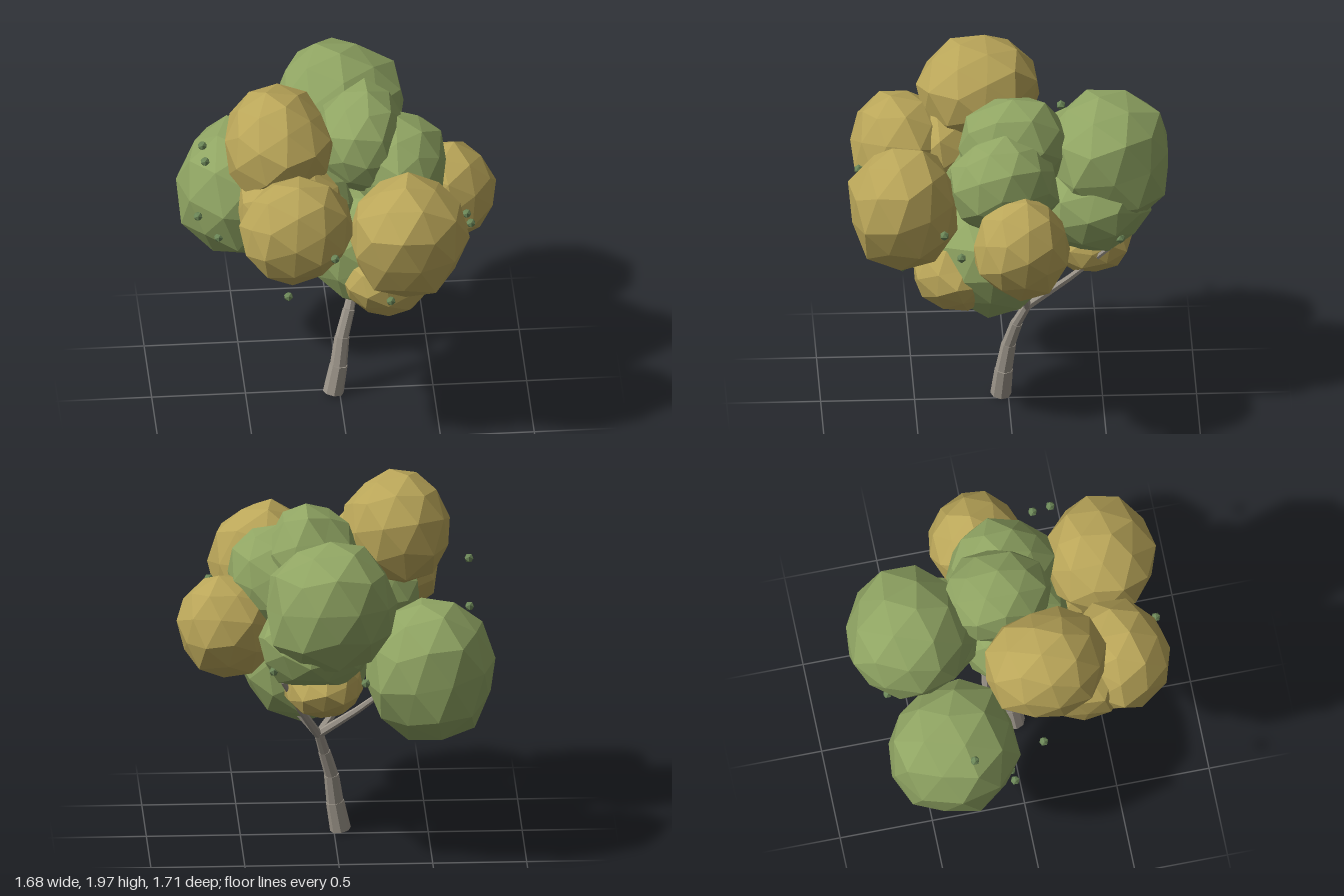
import * as THREE from 'three';

const flat = (name, color) => {
  const m = new THREE.MeshStandardMaterial({ color, flatShading: true });
  m.name = name;
  return m;
};

// Faceted clump: subdivided icosahedron with a seeded offset at each corner,
// then swollen or flattened towards the given directions [x, y, z, amount]
function clumpGeometry(rx, ry, rz, seed, bumps) {
  const g = new THREE.IcosahedronGeometry(1, 1);
  const p = g.attributes.position;
  const v = new THREE.Vector3();
  const turn = new THREE.Euler(seed * 1.3, seed * 2.1, seed * 0.7);
  const swells = bumps.map(([x, y, z, amount]) => ({ dir: new THREE.Vector3(x, y, z).normalize(), amount }));
  for (let i = 0; i < p.count; i++) {
    v.fromBufferAttribute(p, i);
    const k = Math.round(v.x * 50) * 12.9898 + Math.round(v.y * 50) * 78.233 + Math.round(v.z * 50) * 37.719;
    const s = Math.sin(k + seed * 4.17) * 43758.5453;
    v.applyEuler(turn);
    let size = 0.95 + 0.12 * (s - Math.floor(s));
    for (const { dir, amount } of swells) size += amount * Math.max(0, v.dot(dir)) ** 4;
    p.setXYZ(i, v.x * rx * size, v.y * ry * size, v.z * rz * size);
  }
  g.computeVertexNormals();
  return g;
}

// Tapered limb between two points
function limb(a, b, r0, r1, sides, material, name) {
  const from = new THREE.Vector3(...a);
  const dir = new THREE.Vector3(...b).sub(from);
  const mesh = new THREE.Mesh(new THREE.CylinderGeometry(r1, r0, dir.length(), sides), material);
  mesh.position.copy(from).addScaledVector(dir, 0.5);
  mesh.quaternion.setFromUnitVectors(new THREE.Vector3(0, 1, 0), dir.normalize());
  mesh.name = name;
  return mesh;
}

export function createModel() {
  const root = new THREE.Group();
  root.name = 'tree';
  const bark = flat('bark grey', 0x9c958a);
  const ochre = flat('ochre leaf', 0xbaa659);
  const green = flat('green leaf', 0x90a563);
  const berryGreen = flat('berry green', 0x6c8758);

  // Trunk: stacked tapering segments that lean and curve
  const trunk = new THREE.Group();
  trunk.name = 'trunk';
  const path = [[-0.035, 0.012, 0.04], [-0.005, 0.175, 0.025], [0.015, 0.335, 0], [0.055, 0.48, -0.04], [0.09, 0.61, -0.1]];
  const radii = [0.056, 0.046, 0.037, 0.03, 0.022];
  for (let i = 0; i < 4; i++) {
    trunk.add(limb(path[i], path[i + 1], radii[i], radii[i + 1] + 0.003, 8, bark, 'trunkSegment'));
  }
  root.add(trunk);

  // Branches: a thick inner half and a thinner outer half
  const branches = new THREE.Group();
  branches.name = 'branches';
  const fork = [0.09, 0.595, -0.095];
  const tips = [[-0.32, 0.905, -0.17], [0.3, 1.05, -0.53], [-0.27, 1.07, 0.08], [0.47, 1.05, -0.02]];
  for (const tip of tips) {
    const mid = fork.map((c, i) => (c + tip[i]) / 2);
    mid[1] -= 0.01;
    branches.add(limb(fork, mid, 0.024, 0.019, 6, bark, 'branchInner'));
    branches.add(limb(mid, tip, 0.019, 0.013, 6, bark, 'branchOuter'));
  }
  root.add(branches);

  // Leaf clumps: material, centre, radii, bumps
  const foliage = new THREE.Group();
  foliage.name = 'foliage';
  const clumps = [
    [ochre, [-0.34, 1.68, 0.15], [0.3, 0.32, 0.33], [[-0.7, 0.7, 0, -0.09], [0.7, 0.7, 0, -0.09]]],
    [ochre, [-0.275, 1.39, 0.55], [0.295, 0.3, 0.28]],
    [ochre, [-0.29, 1.38, 0.34], [0.285, 0.26, 0.25]],
    [ochre, [0.315, 1.33, 0.575], [0.315, 0.35, 0.295], [[-0.6, 0.8, 0, -0.07]]],
    [ochre, [0.57, 1.2, -0.045], [0.27, 0.28, 0.255]],
    [ochre, [0.23, 0.89, 0.285], [0.24, 0.205, 0.245]],
    [ochre, [0.08, 0.98, -0.43], [0.215, 0.16, 0.215]],
    [green, [-0.5, 1.055, -0.395], [0.34, 0.385, 0.35], [[0.7, 0.3, 0.6, 0.1]]],
    [green, [0.03, 1.47, -0.53], [0.36, 0.35, 0.345], [[-0.7, 0, -0.7, -0.07], [0.6, -0.6, -0.4, 0.08]]],
    [green, [0.125, 1.57, -0.02], [0.24, 0.285, 0.29], [[0, 0.7, -0.7, 0.07]]],
    [green, [0.32, 1.45, 0.035], [0.255, 0.28, 0.29]],
    [green, [0.16, 0.96, 0.08], [0.345, 0.325, 0.32], [[0.7, 0, 0.7, 0.06]]],
    [green, [0.12, 1.24, -0.44], [0.31, 0.25, 0.31]],
    [green, [-0.21, 1.29, 0.19], [0.265, 0.24, 0.255]],
  ];
  clumps.forEach(([material, centre, size, bumps = []], i) => {
    const mesh = new THREE.Mesh(clumpGeometry(...size, i + 1, bumps), material);
    mesh.position.set(...centre);
    mesh.name = material === ochre ? 'ochreClump' : 'greenClump';
    foliage.add(mesh);
  });
  root.add(foliage);

  // Small berries around the crown
  const berries = new THREE.Group();
  berries.name = 'berries';
  const berryShape = new THREE.IcosahedronGeometry(0.026, 0);
  const spots = [
    [0.65, 1.32, 0.37], [0.68, 1.2, 0.28], [-0.325, 1.045, 0.68], [0.23, 0.92, 0.575],
    [-0.085, 1.345, 0.795], [-0.72, 1.52, 0.06], [-0.705, 1.38, -0.31], [-0.745, 1.07, -0.1],
    [-0.635, 0.93, -0.1], [0.54, 1.18, 0.55], [0.35, 1.125, -0.58], [-0.135, 1.08, -0.67],
  ];
  for (const spot of spots) {
    const berry = new THREE.Mesh(berryShape, berryGreen);
    berry.position.set(...spot);
    berry.name = 'berry';
    berries.add(berry);
  }
  root.add(berries);
  return root;
}
